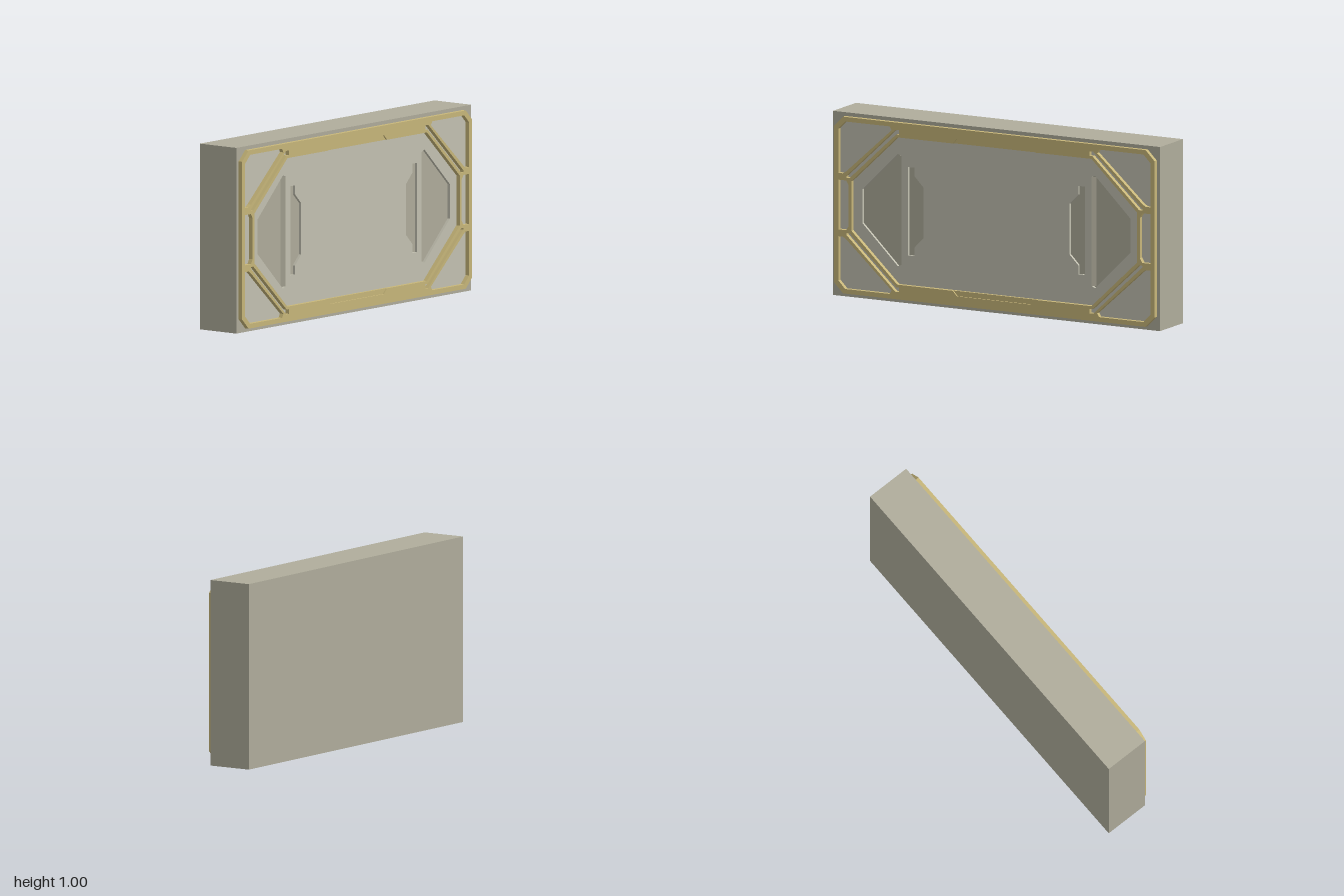
import * as THREE from 'three';

const MID = 0.5; // height of the horizontal mirror line
const BACK = -0.136, FLOOR = 0.098, FACE = 0.113, TOP = 0.137;

// Mirror a point list in x and / or about the mid height
const mirror = (pts, sx, sy) => pts.map(([x, y]) => [x * sx, sy < 0 ? 2 * MID - y : y]);
const toShape = (pts, holes = []) => {
  const vec = (list) => list.map(([x, y]) => new THREE.Vector2(x, y));
  const shape = new THREE.Shape(vec(pts));
  holes.forEach((h) => shape.holes.push(new THREE.Path(vec(h))));
  return shape;
};

// Rectangle with cut corners, centred on the mid height
function octagon(w, h, cx, cy = cx) {
  return [
    [-w, MID - h + cy], [-w + cx, MID - h], [w - cx, MID - h], [w, MID - h + cy],
    [w, MID + h - cy], [w - cx, MID + h], [-w + cx, MID + h], [-w, MID + h - cy],
  ];
}

export function createModel() {
  const model = new THREE.Group();
  const slabMat = new THREE.MeshStandardMaterial({ color: 0xb0ad9c });
  const panelMat = new THREE.MeshStandardMaterial({ color: 0xc4c2b2 });
  const frameMat = new THREE.MeshStandardMaterial({ color: 0xc8b77a });

  const add = (name, geometry, material) => {
    const mesh = new THREE.Mesh(geometry, material);
    mesh.name = name;
    model.add(mesh);
    return mesh;
  };
  const plate = (name, shape, z0, z1, material, bevel = 0) => {
    const geo = new THREE.ExtrudeGeometry(shape, {
      depth: z1 - z0 - bevel, bevelEnabled: bevel > 0, bevelSize: bevel,
      bevelThickness: bevel, bevelOffset: -bevel, bevelSegments: 1,
    });
    return add(name, geo.translate(0, 0, z0), material);
  };

  // Solid slab behind the face
  const body = add('slab', new THREE.BoxGeometry(2, 1, FLOOR - BACK), slabMat);
  body.position.set(0, MID, (BACK + FLOOR) / 2);

  // Narrow rim around the face panel
  const outline = octagon(0.98, 0.48, 0.055);
  const rect = [[-1, 0], [1, 0], [1, 1], [-1, 1]];
  plate('rim', toShape(rect, [outline]), FLOOR, FACE, slabMat);

  // Face panel with sunken side pockets
  const largePocket = [[-0.82, 0.592], [-0.82, 0.408], [-0.603, 0.195],
    [-0.58, 0.205], [-0.58, 0.795], [-0.603, 0.805]];
  const smallPocket = [[-0.54, 0.26], [-0.5, 0.26], [-0.5, 0.308], [-0.447, 0.362],
    [-0.447, 0.638], [-0.5, 0.692], [-0.5, 0.74], [-0.54, 0.74]];
  const pockets = [1, -1].flatMap((sx) => [mirror(largePocket, sx, 1), mirror(smallPocket, sx, 1)]);
  plate('facePanel', toShape(outline, pockets), FLOOR, FACE, panelMat);

  // Sloped inner edge of each large pocket
  for (const sx of [1, -1]) {
    const wedge = toShape([[-0.603 * sx, -FLOOR], [-0.58 * sx, -FLOOR], [-0.58 * sx, -FACE]]);
    const geo = new THREE.ExtrudeGeometry(wedge, { depth: 0.59, bevelEnabled: false });
    add('pocketRamp', geo.rotateX(-Math.PI / 2).translate(0, 0.205, 0), slabMat);
  }

  // Raised frame: main opening with a shallow notch at top and bottom
  const half = [[-0.874, 0.635], [-0.594, 0.9], [-0.254, 0.9], [-0.228, 0.928],
    [0.228, 0.928], [0.254, 0.9], [0.594, 0.9], [0.874, 0.635]];
  const opening = [...half, ...mirror(half, 1, -1).reverse()];
  const cornerHole = [[-0.954, 0.672], [-0.954, 0.912], [-0.912, 0.955], [-0.64, 0.955],
    [-0.628, 0.935], [-0.905, 0.685], [-0.925, 0.672]];
  const diagonalSlot = [[-0.582, 0.94], [-0.605, 0.94], [-0.905, 0.66],
    [-0.905, 0.65], [-0.885, 0.65], [-0.6, 0.915], [-0.582, 0.915]];
  const sideSlot = [[-0.954, 0.635], [-0.905, 0.635], [-0.89, 0.61],
    [-0.89, 0.39], [-0.905, 0.365], [-0.954, 0.365]];
  const holes = [opening];
  for (const sx of [1, -1]) {
    holes.push(mirror(sideSlot, sx, 1));
    for (const sy of [1, -1]) holes.push(mirror(cornerHole, sx, sy), mirror(diagonalSlot, sx, sy));
  }
  plate('frame', toShape(outline, holes), FACE, TOP, frameMat);

  // Lower step filling each notch
  for (const sy of [1, -1]) {
    plate('notchStep', toShape(mirror(half.slice(2, 6), 1, sy)), FACE, TOP - 0.008, frameMat);
  }

  return model;
}
